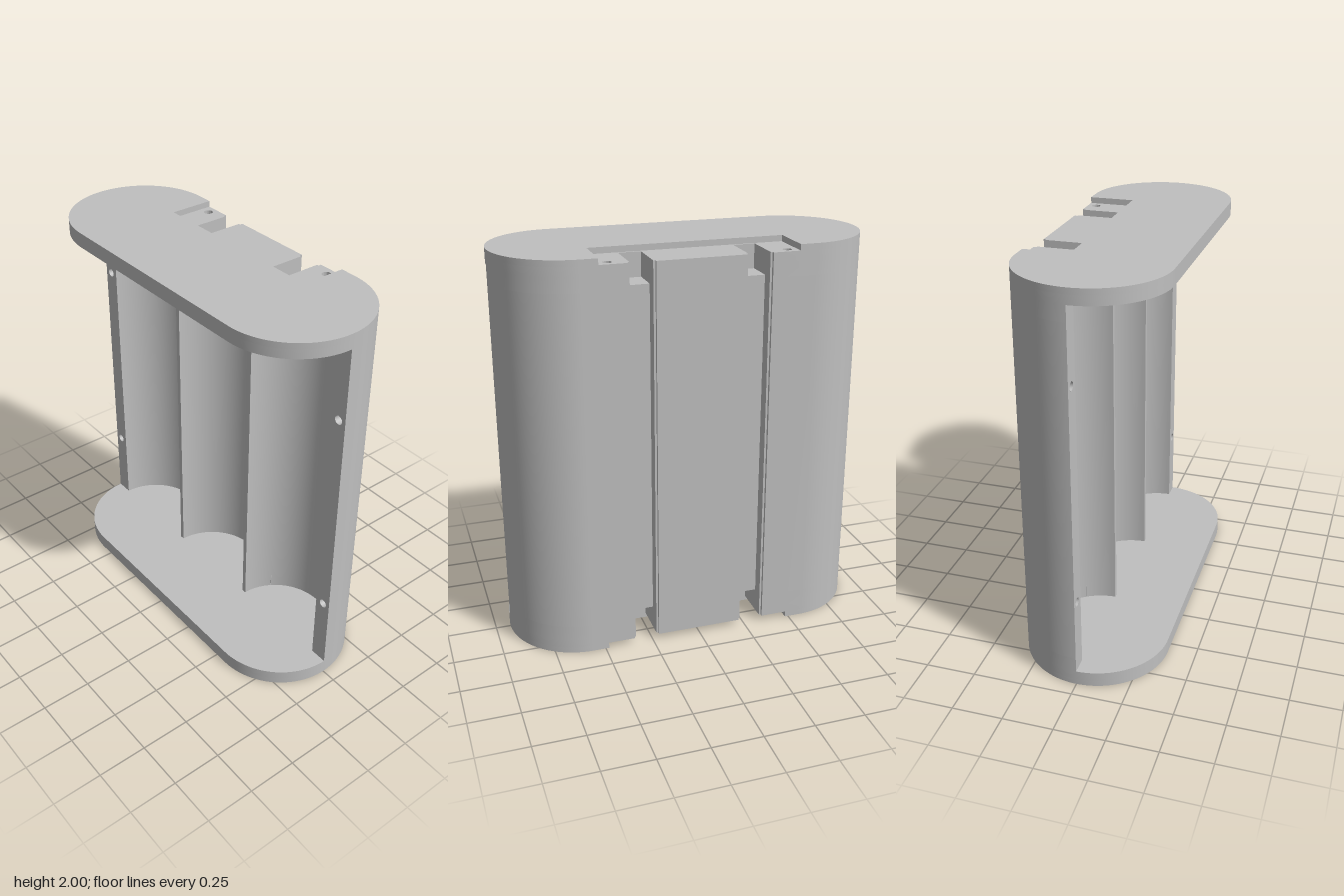
import * as THREE from 'three';
import { toCreasedNormals } from 'three/addons/utils/BufferGeometryUtils.js';

// Plan outlines are drawn as (x, -z), counter-clockwise from above.
const R = 0.36, CX = 0.565, BORE = 0.271;
const H = 2, RECESS = 0.03, PLATE = 0.075, POCKET = 0.15;
const GROOVE = 0.285, DEEP = 0.146, HOLE = 0.022;

const grey = new THREE.MeshStandardMaterial({ color: 0xbfbfbf, side: THREE.DoubleSide });
grey.name = 'grey plastic';

function arc(cx, r, from, to, n = 32) {
  return Array.from({ length: n + 1 }, (_, i) => {
    const a = (from + (to - from) * i / n) * Math.PI;
    return [cx + r * Math.cos(a), r * Math.sin(a)];
  });
}

const mirror = pts => pts.map(([x, y]) => [-x, y]).reverse();

// Rounded back with two stepped cable grooves of the given depth
function backPath(depth) {
  const half = [...arc(CX, R, 0, 0.5),
    [0.348, R], [0.348, 0.345], [0.338, 0.345], [0.338, depth],
    [0.228, depth], [0.228, 0.345], [0.218, 0.345], [0.218, R]];
  return [...half, ...mirror(half)];
}

// Back with the shallow rectangular recess
function recessPath() {
  const half = [...arc(CX, R, 0, 0.5), [0.483, R], [0.483, 0.135]];
  return [...half, ...mirror(half)];
}

const frontArcs = () => [...arc(-CX, R, 1, 1.5).slice(1), ...arc(CX, R, 1.5, 2).slice(0, -1)];

function add(group, name, geometry) {
  const mesh = new THREE.Mesh(geometry, grey);
  mesh.name = name;
  group.add(mesh);
  return mesh;
}

function addHoles(shape, centres) {
  for (const [x, y] of centres) {
    shape.holes.push(new THREE.Path().absarc(x, y, HOLE, 0, Math.PI * 2, true));
  }
  return shape;
}

// Horizontal slab from a plan outline
function slab(points, y0, y1, holes = []) {
  const shape = addHoles(new THREE.Shape(points.map(p => new THREE.Vector2(...p))), holes);
  const g = new THREE.ExtrudeGeometry(shape, { depth: y1 - y0, bevelEnabled: false, curveSegments: 16 });
  g.rotateX(-Math.PI / 2).translate(0, y0, 0);
  return toCreasedNormals(g, 0.5);
}

// Upright wall along a plan path
function wall(points, y0, y1) {
  const pos = [];
  for (let i = 0; i < points.length - 1; i++) {
    const [ax, ay] = points[i], [bx, by] = points[i + 1];
    pos.push(ax, y0, -ay, bx, y0, -by, bx, y1, -by,
      ax, y0, -ay, bx, y1, -by, ax, y1, -ay);
  }
  const g = new THREE.BufferGeometry();
  g.setAttribute('position', new THREE.Float32BufferAttribute(pos, 3));
  return toCreasedNormals(g, 0.5);
}

export function createModel() {
  const model = new THREE.Group();
  model.name = 'threeCellHolder';

  // End plates: inner layer with pockets and screw holes, outer layer with recess
  const screws = [[0.433, 0.315], [-0.433, 0.315]];
  const ends = [
    ['bottom', RECESS, PLATE, 0, RECESS],
    ['top', H - PLATE, H - RECESS, H - RECESS, H],
  ];
  for (const [side, i0, i1, o0, o1] of ends) {
    const plate = new THREE.Group();
    plate.name = side + 'EndPlate';
    model.add(plate);
    add(plate, 'innerPlate', slab([...backPath(DEEP), ...frontArcs()], i0, i1, screws));
    add(plate, 'outerPlate', slab([...recessPath(), ...frontArcs()], o0, o1));
    const floorY = side === 'top' ? i0 : i1;
    for (const [x, y] of screws) {
      const disc = new THREE.CircleGeometry(HOLE, 24).rotateX(side === 'top' ? -Math.PI / 2 : Math.PI / 2);
      add(plate, 'screwHoleFloor', disc.translate(x, floorY, -y));
    }
  }

  // Back shell: full-height grooves, deeper pockets near each end
  add(model, 'backShell', wall(backPath(GROOVE), POCKET, H - POCKET));
  add(model, 'lowerPocketWall', wall(backPath(DEEP), PLATE, POCKET));
  add(model, 'upperPocketWall', wall(backPath(DEEP), H - POCKET, H - PLATE));
  for (const x of [-0.283, 0.283]) {
    for (const top of [false, true]) {
      const floor = new THREE.PlaneGeometry(0.11, GROOVE - DEEP).rotateX(top ? -Math.PI / 2 : Math.PI / 2);
      add(model, 'pocketFloor', floor.translate(x, top ? H - POCKET : POCKET, -(GROOVE + DEEP) / 2));
    }
  }

  // Three round cell channels with the ribs between them
  const channels = [-CX, 0, CX].flatMap(cx => arc(cx, BORE, 1, 0, 48));
  add(model, 'cellChannels', wall(channels, PLATE, H - PLATE));

  // Front flanges with blind screw holes
  for (const s of [-1, 1]) {
    const a = s * (CX + BORE), b = s * (CX + R);
    const x0 = Math.min(a, b), x1 = Math.max(a, b);
    const shape = new THREE.Shape([
      new THREE.Vector2(x0, PLATE), new THREE.Vector2(x1, PLATE),
      new THREE.Vector2(x1, H - PLATE), new THREE.Vector2(x0, H - PLATE)]);
    const holes = [0.45, 1.55].map(y => [s * 0.883, y]);
    add(model, 'frontFlange', new THREE.ShapeGeometry(addHoles(shape, holes), 16));
    for (const [x, y] of holes) {
      const bore = new THREE.CylinderGeometry(HOLE, HOLE, 0.1, 24, 1, true).rotateX(Math.PI / 2);
      add(model, 'flangeHole', bore.translate(x, y, -0.05));
      add(model, 'flangeHoleFloor', new THREE.CircleGeometry(HOLE, 24).translate(x, y, -0.1));
    }
  }
  return model;
}
